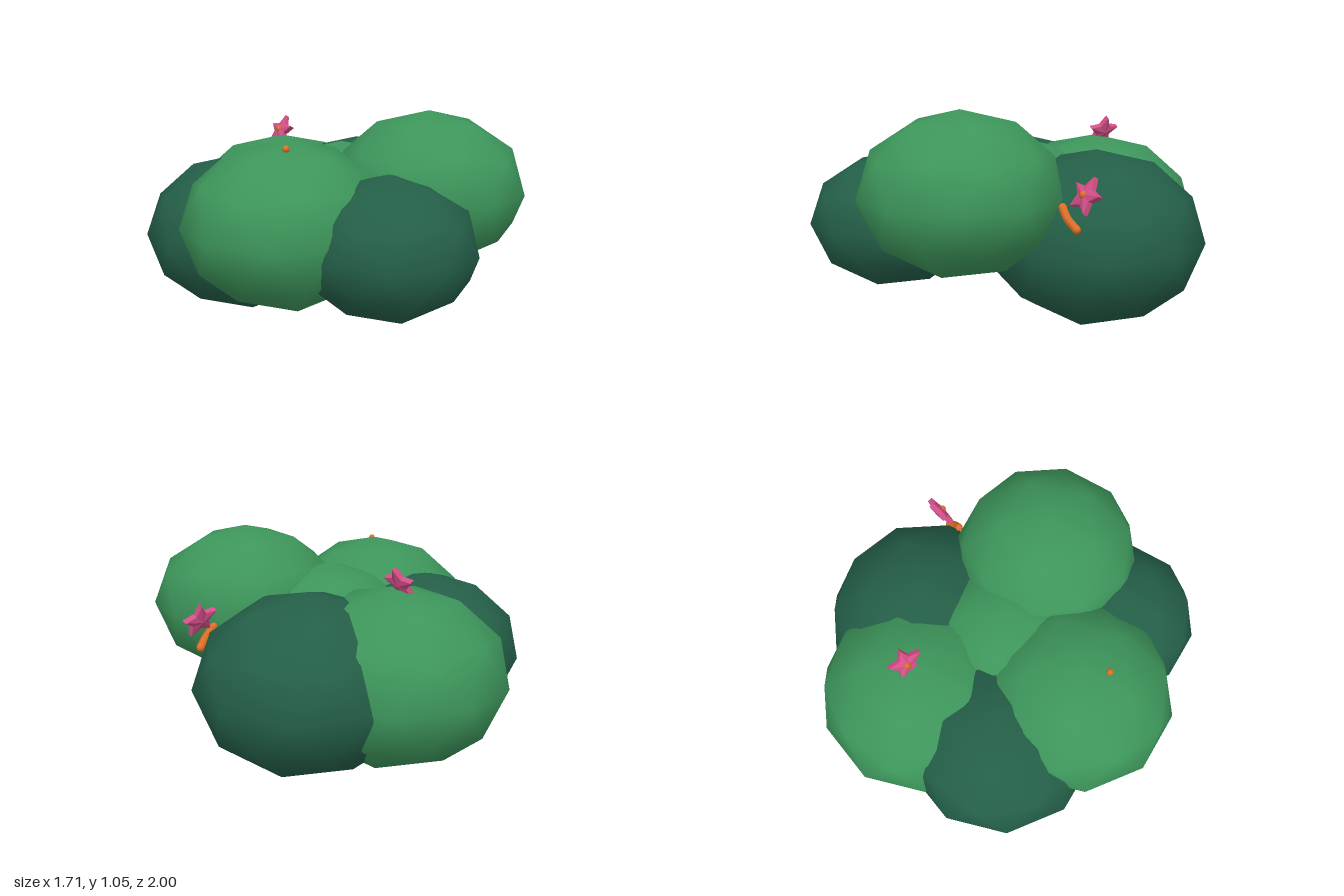
import * as THREE from 'three';

const paint = (name, color) => Object.assign(new THREE.MeshStandardMaterial({ color }), { name });

export function createModel() {
  const model = new THREE.Group();
  model.name = 'floweringBush';

  const lightLeaf = paint('light leaf green', 0x3d965b);
  const darkLeaf = paint('dark leaf green', 0x245f48);
  const pink = paint('petal pink', 0xd44f88);
  pink.flatShading = true;
  const orange = paint('pollen orange', 0xe07028);

  const add = (parent, name, geometry, material, x = 0, y = 0, z = 0) => {
    const mesh = new THREE.Mesh(geometry, material);
    mesh.name = name;
    mesh.position.set(x, y, z);
    parent.add(mesh);
    return mesh;
  };

  // Leaf clumps: squashed 80-sided balls, each with a corner pointing straight up
  const tilt = -Math.atan(2 / (1 + Math.sqrt(5)));
  const clumps = [
    ['frontRightClump', lightLeaf, -0.36, 0.555, 0.215, 0.494],
    ['frontLeftClump', lightLeaf, 0.34, 0.675, 0.357, 0.473],
    ['frontClump', darkLeaf, -0.05, 0.49, 0.59, 0.41],
    ['backLeftClump', darkLeaf, 0.35, 0.423, -0.305, 0.526],
    ['backRightClump', darkLeaf, -0.39, 0.435, -0.2, 0.489],
    ['backClump', lightLeaf, -0.03, 0.44, -0.475, 0.525],
    ['centreClump', lightLeaf, 0.05, 0.54, 0.02, 0.43],
  ];
  for (const [name, material, x, y, z, r] of clumps) {
    const ball = new THREE.IcosahedronGeometry(1, 1).rotateZ(tilt).scale(r, r * 0.8, r);
    add(model, name, ball, material, x, y, z);
  }

  // Five-pointed petal star facing +z, with one tip up
  const star = new THREE.SphereGeometry(1, 10, 3).rotateX(Math.PI / 2).rotateZ(Math.PI / 2);
  const p = star.attributes.position;
  for (let i = 0; i < p.count; i++) {
    const angle = Math.atan2(p.getY(i), p.getX(i)) - Math.PI / 2;
    const r = Math.cos(5 * angle) > 0 ? 0.1 : 0.05;
    p.setXYZ(i, p.getX(i) * r, p.getY(i) * r, p.getZ(i) * 0.026);
  }
  star.computeVertexNormals();
  const bead = new THREE.SphereGeometry(0.018, 8, 6);

  const flower = (name, position, normal, roll) => {
    const group = new THREE.Group();
    group.name = name;
    group.position.set(...position);
    group.lookAt(new THREE.Vector3(...position).add(new THREE.Vector3(...normal)));
    group.rotateZ(roll);
    add(group, 'petals', star, pink);
    add(group, 'flowerCentre', bead, orange, 0, 0, 0.018);
    model.add(group);
  };
  flower('sideFlower', [0.765, 0.72, -0.067], [0.25, 0.42, 0.87], -0.22);
  flower('backFlower', [-0.015, 0.88, -0.51], [-0.85, 0.48, 0.15], 0);

  // Buds poking out of the leaves
  const budPath = new THREE.CatmullRomCurve3([
    new THREE.Vector3(0.675, 0.655, 0),
    new THREE.Vector3(0.715, 0.615, -0.005),
    new THREE.Vector3(0.755, 0.575, -0.03),
  ]);
  add(model, 'sideBud', new THREE.TubeGeometry(budPath, 6, 0.02, 6), orange);
  for (const t of [0, 1]) {
    const end = budPath.getPoint(t);
    add(model, 'sideBudTip', new THREE.SphereGeometry(0.02, 8, 6), orange, end.x, end.y, end.z);
  }
  add(model, 'topBud', new THREE.SphereGeometry(0.017, 8, 6), orange, -0.42, 0.924, 0.33);

  return model;
}
